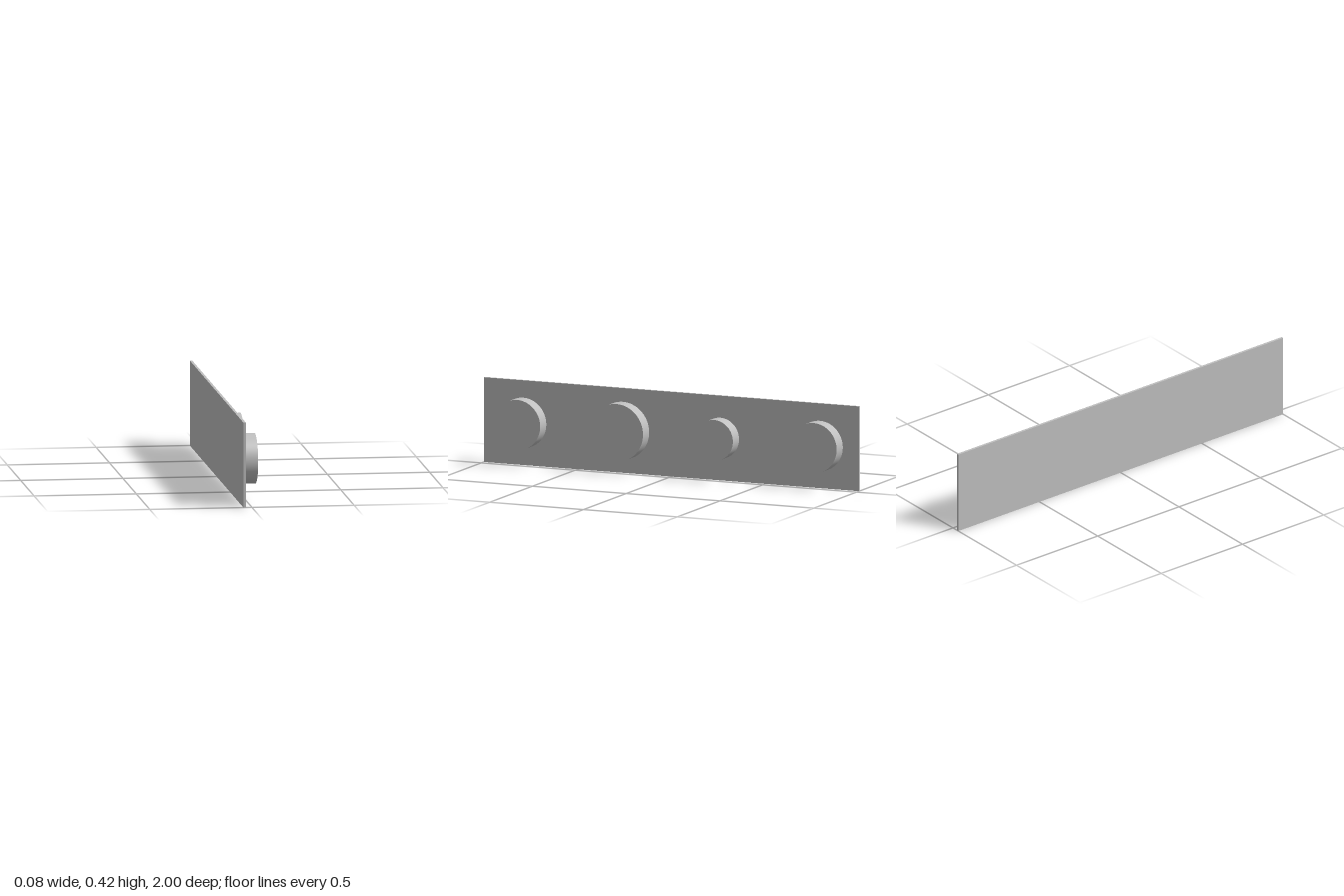
import * as THREE from 'three';

export function createModel() {
  const group = new THREE.Group();
  const grey = new THREE.MeshStandardMaterial({ color: 0xc0c0c0 });
  grey.name = 'light grey';

  const height = 0.417;
  const back = -0.042, face = -0.03, front = 0.042;

  // Thin upright backing plate
  const plate = new THREE.Mesh(new THREE.BoxGeometry(face - back, height, 2), grey);
  plate.name = 'backPlate';
  plate.position.set((back + face) / 2, height / 2, 0);
  group.add(plate);

  // Row of round discs standing out from the plate: [z, radius]
  const discs = [[0.79, 0.123], [0.26, 0.141], [-0.26, 0.1], [-0.79, 0.123]];
  discs.forEach(([z, radius], i) => {
    const geometry = new THREE.CylinderGeometry(radius, radius, front - face, 64);
    geometry.rotateZ(-Math.PI / 2);
    const disc = new THREE.Mesh(geometry, grey);
    disc.name = `disc${i + 1}`;
    disc.position.set((face + front) / 2, height / 2, z);
    group.add(disc);
  });

  return group;
}
